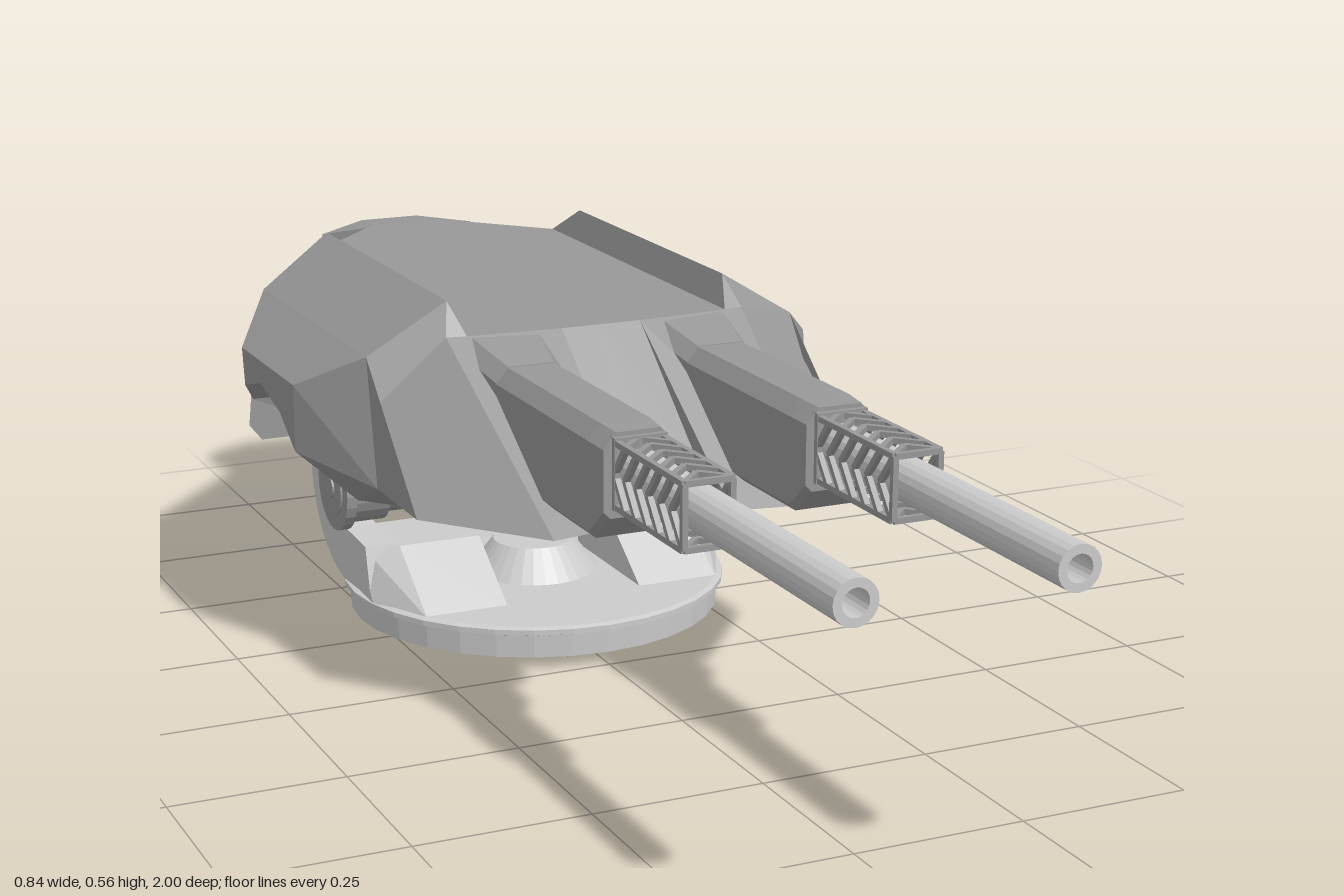
import * as THREE from 'three';
import { ConvexGeometry } from 'three/addons/geometries/ConvexGeometry.js';

const paint = color => new THREE.MeshStandardMaterial({ color, flatShading: true, side: THREE.DoubleSide });
const light = paint(0xcccccc), dark = paint(0x989898);
const V = (x, y, z) => new THREE.Vector3(x, y, z);

function add(parent, geometry, name, material) {
  const mesh = new THREE.Mesh(geometry, material);
  mesh.name = name;
  parent.add(mesh);
  return mesh;
}

// Square bar between two points
function bar(parent, a, b, t, name) {
  const m = add(parent, new THREE.BoxGeometry(t, t, a.distanceTo(b)), name, dark);
  m.position.copy(a).add(b).multiplyScalar(0.5);
  m.lookAt(b);
}

// Side profile in (z, y) given thickness between two x values
function sideSlab(points, x0, x1) {
  const shape = new THREE.Shape(points.map(p => new THREE.Vector2(p[0], p[1])));
  const g = new THREE.ExtrudeGeometry(shape, { depth: x1 - x0, bevelEnabled: false });
  return g.rotateY(-Math.PI / 2).translate(x1, 0, 0);
}

const convex = pts => new ConvexGeometry(pts.map(p => V(...p)));
const bothSides = pts => pts.flatMap(([x, y, z]) => [[x, y, z], [-x, y, z]]);

// Points on an arc around the elevation axis, angle from the front (+z) upward
const AXIS = { y: 0.225, z: -0.35 };
function arc(r, from, to, n) {
  return Array.from({ length: n + 1 }, (_, i) => {
    const a = THREE.MathUtils.degToRad(from + (to - from) * i / n);
    return [AXIS.z + r * Math.cos(a), AXIS.y + r * Math.sin(a)];
  });
}

// Armoured hull: corner points of the left half, and the panels between them
const P = {
  a: [.21, .305, .285], hb: [.07, .305, .26], cb: [.065, .315, .2], ht: [.062, .515, -.03],
  g: [.205, .515, -.04], e: [.235, .515, -.045], f: [.22, .56, -.08],
  c: [.345, .305, .12], d: [.342, .425, -.047], s: [.34, .487, -.09], c2: [.345, .305, -.04],
  w1: [.418, .33, -.19], w2: [.418, .43, -.19], w4: [.418, .43, -.44], w3: [.385, .33, -.5],
  m1: [.418, .373, -.26], m2: [.418, .395, -.35], m3: [.418, .373, -.43],
  n1: [.2, .33, -.19], n2: [.2, .373, -.26], n3: [.2, .395, -.35], n4: [.2, .373, -.43], n5: [.2, .33, -.5],
  sr: [.34, .487, -.57], sl: [.345, .33, -.57], fr: [.22, .56, -.61], gr: [.205, .515, -.69],
  rl: [.205, .33, -.69], t: [.065, .515, -.84], tb: [.065, .39, -.84],
  b0: [.07, .242, 0], b1: [.175, .242, -.03], b2: [.33, .25, -.17], b5: [.2, .242, -.17],
  b4: [.2, .242, -.52], b3: [.16, .242, -.7],
  gc: [0, .515, -.03], grc: [0, .515, -.69], tc: [0, .515, -.84], cc: [0, .315, .2],
  bc1: [0, .242, 0], bc3: [0, .242, -.7], tbc: [0, .39, -.84],
};
const PANELS = [
  'gc ht g gr grc', 'gr grc tc t', 'g f fr gr', 'e f g', 'e s f', 'f s sr fr', 'fr sr gr', // roof, ridges
  'a c d e', 'a e g', 'a g ht', 'a ht hb', 'ht hb cb', 'gc ht cb cc', 'd s e',             // front
  'c c2 s d', 'c2 w1 w2 s', 's w2 w4 sr', 'w4 sr sl w3', 'sr gr rl sl', 'gr t tb rl', 't tb tbc tc', // flanks
  'w1 w2 m1', 'w2 m2 m1', 'w2 w4 m2', 'w4 m3 m2', 'w4 w3 m3',                              // arch edge
  'w1 m1 n2 n1', 'm1 m2 n3 n2', 'm2 m3 n4 n3', 'm3 w3 n5 n4', 'b5 b2 w1 n1', 'b4 n5 w3',   // arched well
  'n3 n4 n5 b4 b5 n1 n2',
  'rl tb b3', 'tb tbc bc3 b3', 'sl rl b3 b4', 'w3 sl b4', 'hb cb b0', 'a hb b0 b1', 'cb cc bc1 b0', // underside
  'c a b1', 'c c2 b1', 'c2 b1 b2', 'c2 w1 b2', 'b1 b2 b5', 'bc1 b0 b1 b5 b4 b3 bc3',
];

function hullGeometry() {
  const pos = [], mid = V(0, .38, -.25);
  for (const panel of PANELS) {
    const v = panel.split(' ').map(k => V(...P[k]));
    for (let i = 1; i < v.length - 1; i++) {
      let [a, b, c] = [v[0], v[i], v[i + 1]];
      const n = b.clone().sub(a).cross(c.clone().sub(a));
      const centre = a.clone().add(b).add(c).divideScalar(3);
      if (n.dot(centre.sub(mid)) < 0) [b, c] = [c, b];
      for (const p of [a, b, c]) pos.push(p.x, p.y, p.z);
      for (const p of [a, c, b]) pos.push(-p.x, p.y, p.z);
    }
  }
  const g = new THREE.BufferGeometry();
  g.setAttribute('position', new THREE.Float32BufferAttribute(pos, 3));
  g.computeVertexNormals();
  return g;
}

function createGun() {
  const gun = new THREE.Group();
  gun.name = 'gun';
  // Housing with chamfered top and a raked lower front, faired into the hull
  const ring = (z, w, low, high) => [[w, low + .01, z], [w - .01, low, z], [w, high - .022, z], [w - .018, high, z]];
  add(gun, convex(bothSides([...ring(-.02, .053, .335, .49), ...ring(.38, .053, .335, .49), ...ring(.42, .05, .372, .488)])), 'gunHousing', dark);
  add(gun, convex(bothSides([...ring(-.045, .07, .34, .515), ...ring(.06, .053, .34, .491)])), 'gunFairing', dark);
  add(gun, new THREE.BoxGeometry(.076, .098, .016), 'muzzleCollar', dark).position.set(0, .433, .42);
  // Hollow barrel
  const tube = [[.03, .4], [.03, 1], [.018, 1], [.018, .85], [0, .85]].map(p => new THREE.Vector2(...p));
  add(gun, new THREE.LatheGeometry(tube, 20).rotateX(Math.PI / 2), 'barrel', light).position.y = .435;
  // Lattice sleeve: four rails, end frame and chevron struts
  const w = .033, h = .043, y = .432, z0 = .42, z1 = .625, n = 6, step = (z1 - z0) / n;
  const corners = [[w, y + h], [-w, y + h], [-w, y - h], [w, y - h]];
  corners.forEach((p, i) => {
    const q = corners[(i + 1) % 4], centre = [(p[0] + q[0]) / 2, (p[1] + q[1]) / 2];
    bar(gun, V(...p, z0), V(...p, z1), .008, 'sleeveRail');
    bar(gun, V(...p, z1), V(...q, z1), .008, 'sleeveFrame');
    for (let k = 0; k < n; k++) {
      for (const end of [p, q]) bar(gun, V(...end, z0 + (k + 1) * step), V(...centre, z0 + k * step), .008, 'sleeveStrut');
    }
  });
  return gun;
}

function createMount() {
  const mount = new THREE.Group();
  mount.name = 'elevationMount';
  // Wedge foot with its outer corner cut back, and C-shaped arm
  add(mount, convex([[.11, .065, -.13], [.24, .065, -.13], [.29, .065, -.23], [.11, .145, -.245], [.24, .145, -.245], [.29, .145, -.3],
    [.11, .065, -.37], [.29, .065, -.37], [.11, .145, -.37], [.29, .145, -.37]]), 'armFoot', light);
  add(mount, sideSlab([[-.24, .066], [-.26, .146], ...arc(.075, 270, 90, 10), ...arc(.16, 95, 270, 20).map(([z, y]) => [z, Math.max(y, .066)])], .24, .29), 'curvedArm', light);
  // Fine teeth along the rim of the arm
  arc(.158, 100, 250, 26).forEach(([z, y], i) => {
    const tooth = add(mount, new THREE.BoxGeometry(.03, .008, .008), 'rackTooth', light);
    tooth.position.set(.265, y, z);
    tooth.rotation.x = -THREE.MathUtils.degToRad(100 + 150 * i / 26);
  });
  // Guard segments ahead of the arm
  for (let k = 0; k < 3; k++) {
    const a = 27 + k * 22, r = .17 - (k % 2) * .004;
    add(mount, sideSlab([...arc(.085, a, a + 21.5, 2), ...arc(r, a + 21.5, a, 2)], .235, .297), 'armGuard', dark);
  }
  // Flap hanging behind the arch
  add(mount, convex([[.3, .26, -.51], [.37, .26, -.51], [.39, .285, -.51], [.385, .335, -.51], [.3, .335, -.51],
    [.3, .262, -.55], [.355, .262, -.55], [.355, .335, -.56], [.3, .335, -.56]]), 'archFlap', dark);
  // Stepped hub: inner x, outer x, radius
  for (const [x0, x1, r] of [[.197, .242, .048], [.235, .295, .058], [.293, .309, .068], [.307, .312, .045], [.311, .315, .016]]) {
    const hub = add(mount, new THREE.CylinderGeometry(r, r, x1 - x0, 24).rotateZ(Math.PI / 2), 'hubStep', dark);
    hub.position.set((x0 + x1) / 2, AXIS.y - .006, AXIS.z);
  }
  return mount;
}

export function createModel() {
  const model = new THREE.Group();
  model.name = 'twinGunTurret';

  // Turntable with rim and central cone
  const profile = [[0, 0], [.28, .015], [.288, .018], [.29, .053], [.298, .056], [.298, .064], [.29, .067], [.1, .067], [.063, .115], [0, .115]];
  add(model, new THREE.LatheGeometry(profile.map(p => new THREE.Vector2(...p)), 32), 'turntable', light).position.z = -.293;

  add(model, hullGeometry(), 'hull', dark);
  add(model, convex(bothSides([[.2, .25, -.19], [.186, .195, -.21], [.186, .195, -.5], [.2, .25, -.565]])), 'bellyBlock', dark);
  add(model, convex(bothSides([[.06, .515, -.83], [.06, .41, -.83], [.135, .497, -.89], [.135, .41, -.89], [.05, .507, -.93],
    [.11, .485, -.95], [.11, .385, -.95], [.035, .472, -1], [.035, .392, -1]])), 'tailKnob', dark);

  for (const side of [1, -1]) {
    const gun = createGun();
    gun.position.x = side * .148;
    model.add(gun);
    const mount = createMount();
    mount.scale.x = side;
    model.add(mount);
  }
  return model;
}
